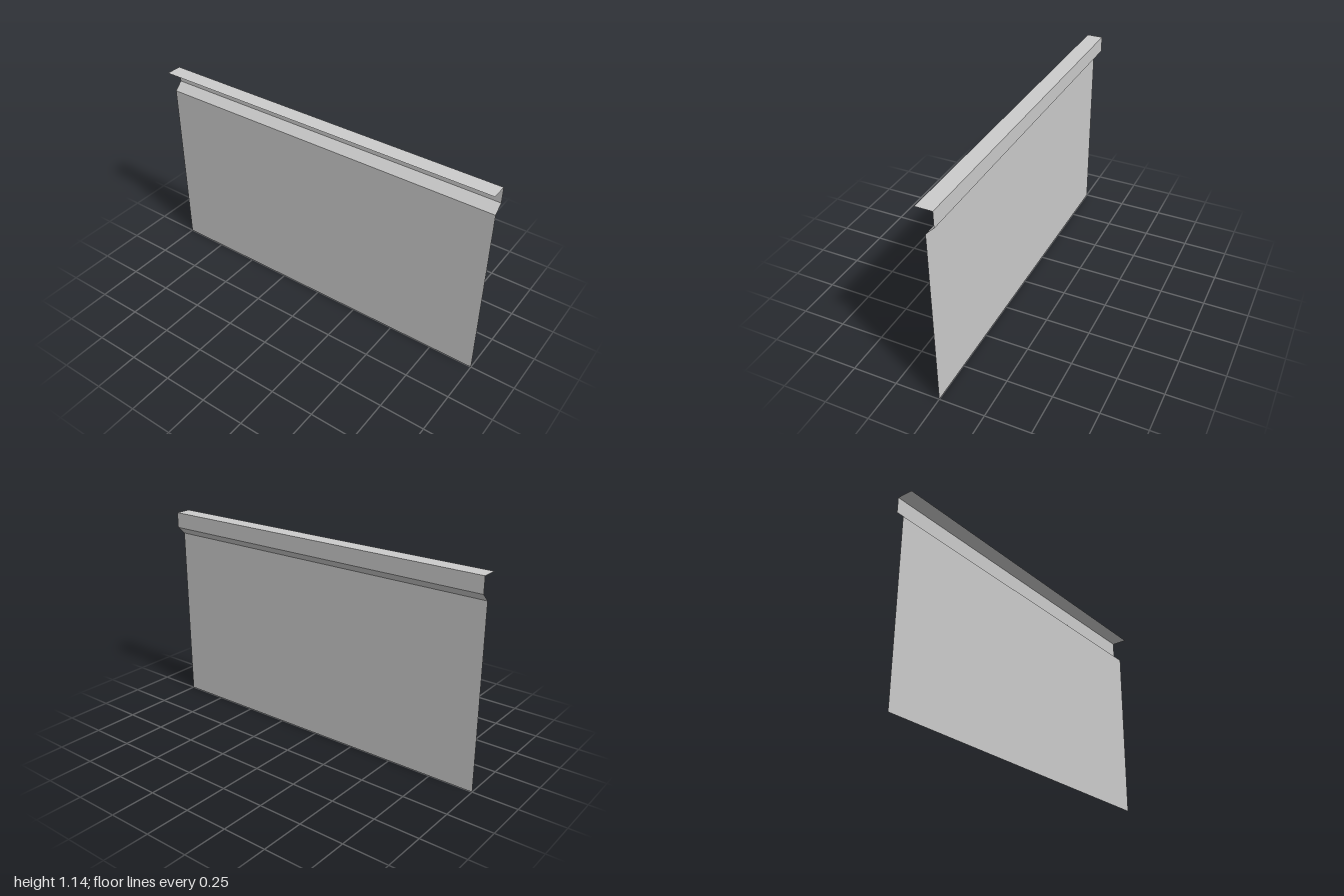
import * as THREE from 'three';

const LENGTH = 2; // along z

// Folded cross-section (x, y), from the foot of the sheet to the lip
const PROFILE = [[0, 0], [0, 1.012], [0.045, 1.055], [0.045, 1.143], [-0.045, 1.143]];
const NAMES = ['mainPanel', 'slantedFold', 'uprightStrip', 'topLip'];

export function createModel() {
  const group = new THREE.Group();
  group.name = 'foldedSheetPanel';
  const material = new THREE.MeshStandardMaterial({
    color: 0xcccccc, flatShading: true, side: THREE.DoubleSide,
  });

  // One flat strip per segment of the profile
  NAMES.forEach((name, i) => {
    const [x0, y0] = PROFILE[i];
    const [x1, y1] = PROFILE[i + 1];
    const strip = new THREE.PlaneGeometry(Math.hypot(x1 - x0, y1 - y0), LENGTH);
    strip.rotateX(Math.PI / 2);
    strip.rotateZ(Math.atan2(y1 - y0, x1 - x0));
    strip.translate((x0 + x1) / 2, (y0 + y1) / 2, 0);
    const mesh = new THREE.Mesh(strip, material);
    mesh.name = name;
    group.add(mesh);
  });

  return group;
}
